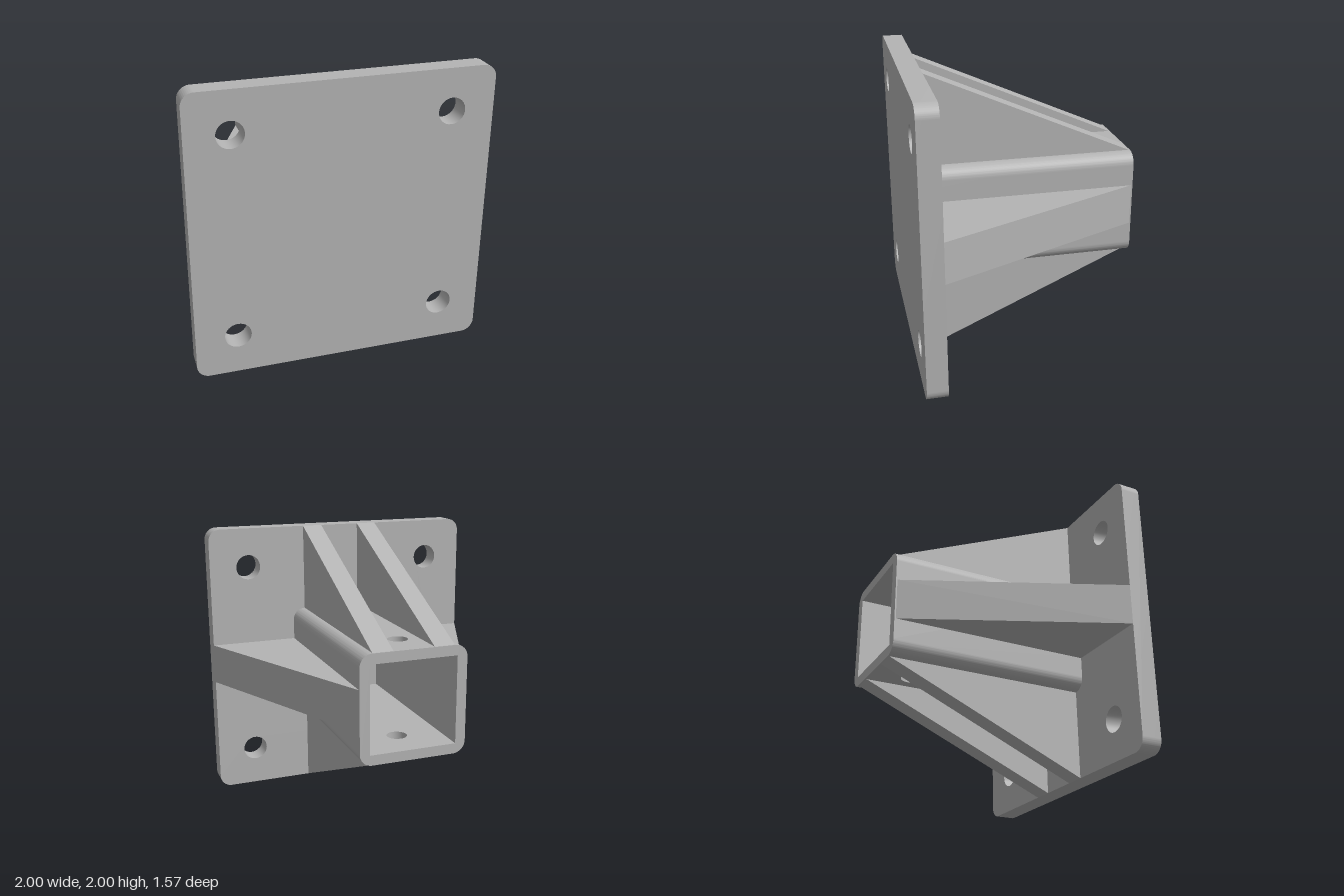
import * as THREE from 'three';
import { toCreasedNormals } from 'three/addons/utils/BufferGeometryUtils.js';

const BACK = -0.785, PLATE_BACK = 0.642, FRONT = 0.785;
const HALF = 0.375, WALL = 0.071, RADIUS = 0.086;
const FLAT = HALF - RADIUS, INNER = HALF - WALL;

function extrude(shape, depth) {
  const geometry = new THREE.ExtrudeGeometry(shape, { depth, bevelEnabled: false, curveSegments: 16 });
  return toCreasedNormals(geometry, 0.5);
}

function polygon(points) {
  return new THREE.Shape(points.map(([x, y]) => new THREE.Vector2(x, y)));
}

function addHole(shape, x, y, radius) {
  const hole = new THREE.Path();
  hole.absarc(x, y, radius, 0, Math.PI * 2, true);
  shape.holes.push(hole);
}

// Square plate with rounded corners and four bolt holes
function plateGeometry() {
  const r = 0.086, c = 1 - r, q = Math.PI / 2;
  const shape = new THREE.Shape();
  [[c, c], [-c, c], [-c, -c], [c, -c]].forEach(([x, y], i) => {
    shape.absarc(x, y, r, i * q, (i + 1) * q, false);
  });
  shape.closePath();
  for (const x of [-0.714, 0.714]) for (const y of [-0.714, 0.714]) addHole(shape, x, y, 0.09);
  return extrude(shape, FRONT - PLATE_BACK).translate(0, 0, PLATE_BACK);
}

// Side wall of the socket, including both rounded outer corners
function socketSideGeometry() {
  const shape = new THREE.Shape();
  shape.moveTo(FLAT, -HALF);
  shape.absarc(FLAT, -FLAT, RADIUS, -Math.PI / 2, 0, false);
  shape.absarc(FLAT, FLAT, RADIUS, 0, Math.PI / 2, false);
  shape.lineTo(FLAT, INNER);
  shape.lineTo(INNER, INNER);
  shape.lineTo(INNER, -INNER);
  shape.lineTo(FLAT, -INNER);
  shape.closePath();
  return extrude(shape, PLATE_BACK - BACK).translate(0, 0, BACK);
}

// Flat socket wall with the pin hole
function socketWallGeometry() {
  const shape = polygon([[-FLAT, -PLATE_BACK], [FLAT, -PLATE_BACK], [FLAT, -BACK], [-FLAT, -BACK]]);
  addHole(shape, 0, 0.505, 0.07);
  return extrude(shape, WALL).rotateX(-Math.PI / 2).translate(0, INNER, 0);
}

// Triangular rib standing on the upper socket wall
function ribGeometry(x, width) {
  const shape = polygon([[-PLATE_BACK, HALF], [0.775, HALF], [-PLATE_BACK, 1]]);
  return extrude(shape, width).rotateY(Math.PI / 2).translate(x, 0, 0);
}

export function createModel() {
  const model = new THREE.Group();
  model.name = 'mountingBracket';
  const grey = new THREE.MeshStandardMaterial({ color: 0xb4b4b4 });
  grey.name = 'plain grey';

  function add(name, geometry, turn = 0) {
    const mesh = new THREE.Mesh(geometry, grey);
    mesh.name = name;
    mesh.rotation.z = turn;
    mesh.position.y = 1;
    model.add(mesh);
  }

  add('mountingPlate', plateGeometry());

  // Hollow square socket
  const side = socketSideGeometry(), wall = socketWallGeometry();
  add('socketLeftWall', side);
  add('socketRightWall', side, Math.PI);
  add('socketTopWall', wall);
  add('socketBottomWall', wall, Math.PI);

  // Paired thin ribs above and below
  for (const x of [-0.286, 0.143]) {
    const rib = ribGeometry(x, 0.143);
    add('upperRib', rib);
    add('lowerRib', rib, Math.PI);
  }

  // Single thick rib on each side
  const thickRib = ribGeometry(-0.143, 0.286);
  add('leftRib', thickRib, -Math.PI / 2);
  add('rightRib', thickRib, Math.PI / 2);

  return model;
}
